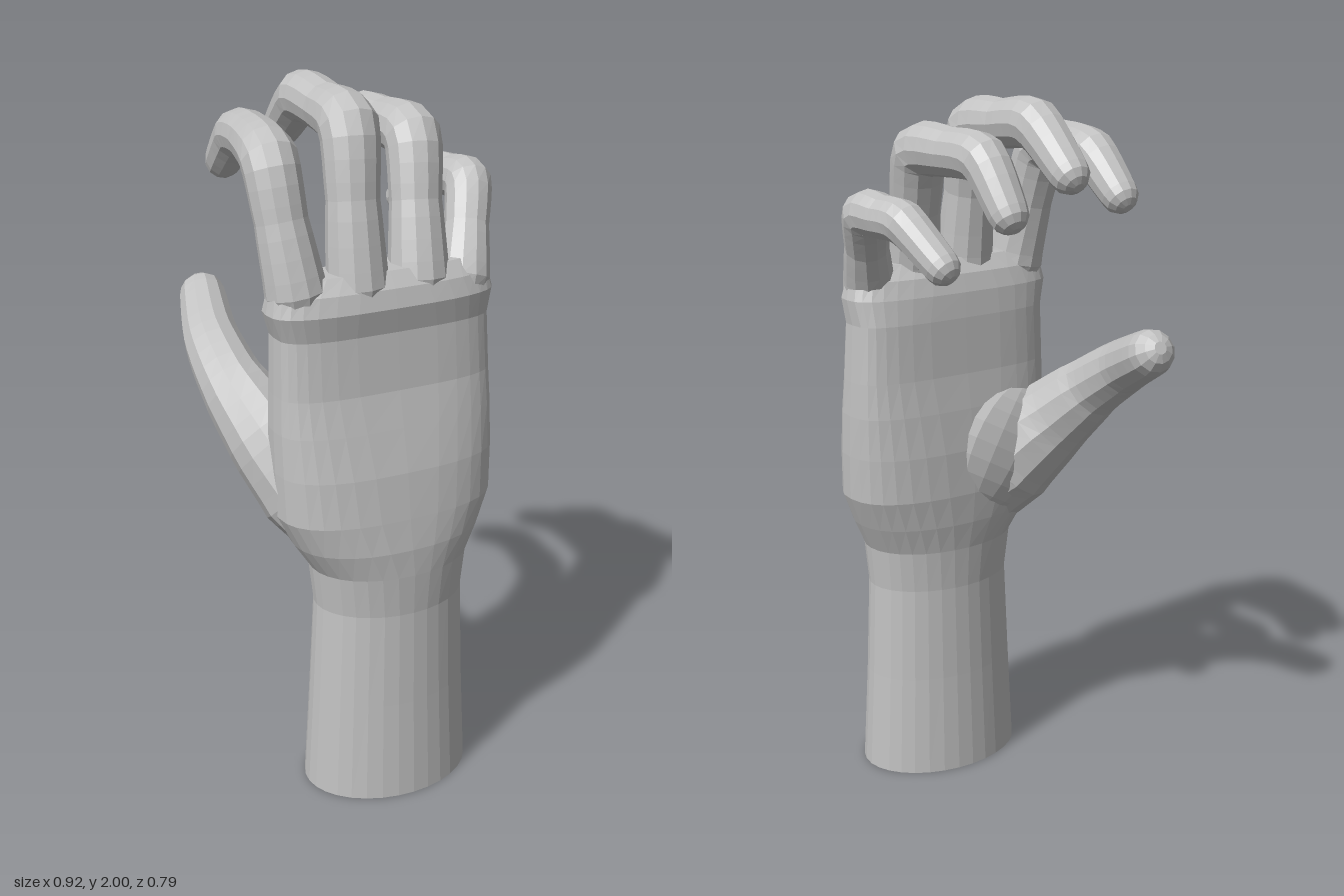
import * as THREE from 'three';

const TURN = 0.607; // the back of the hand faces between +x and +z
const ACROSS = new THREE.Vector3(Math.cos(TURN), 0, -Math.sin(TURN));

// Skin a list of equal rings of points and close both ends
function loft(rings) {
  const n = rings[0].length, pos = [], index = [];
  rings.forEach(r => r.forEach(p => pos.push(p.x, p.y, p.z)));
  for (let i = 0; i < rings.length - 1; i++) {
    for (let j = 0; j < n; j++) {
      const a = i * n + j, b = i * n + (j + 1) % n;
      index.push(a, a + n, b, b, a + n, b + n);
    }
  }
  const last = (rings.length - 1) * n;
  for (let j = 1; j < n - 1; j++) {
    index.push(0, j, j + 1, last, last + j + 1, last + j);
  }
  const g = new THREE.BufferGeometry();
  g.setAttribute('position', new THREE.Float32BufferAttribute(pos, 3));
  g.setIndex(index);
  g.computeVertexNormals();
  return g;
}

// Forearm and palm: superellipse sections [y, x, z, halfWidth, halfDepth, power]
function palmGeometry() {
  const sections = [
    [0, 0.07, 0.25, 0.25, 0.184, 2],
    [0.3, 0.07, 0.248, 0.234, 0.17, 2],
    [0.58, 0.072, 0.245, 0.222, 0.16, 2],
    [0.7, 0.07, 0.245, 0.234, 0.165, 2.1],
    [0.78, 0.062, 0.24, 0.278, 0.17, 2.3],
    [0.87, 0.058, 0.232, 0.318, 0.167, 2.5],
    [1.0, 0.058, 0.225, 0.322, 0.155, 2.7],
    [1.12, 0.058, 0.217, 0.322, 0.134, 3],
    [1.22, 0.058, 0.212, 0.318, 0.114, 3.3],
    [1.38, 0.056, 0.21, 0.312, 0.102, 3.4],
    [1.45, 0.047, 0.222, 0.33, 0.104, 3],
    [1.5, 0.045, 0.224, 0.32, 0.088, 2.8],
    [1.54, 0.045, 0.226, 0.285, 0.055, 2.5],
  ];
  const sides = 32;
  const rings = sections.map(([y, x, z, a, b, p]) => {
    const ring = [];
    for (let j = 0; j < sides; j++) {
      const t = j / sides * Math.PI * 2, c = Math.cos(t), s = Math.sin(t);
      ring.push(new THREE.Vector3(
        x + a * Math.sign(c) * Math.abs(c) ** (2 / p), y,
        z + b * Math.sign(s) * Math.abs(s) ** (2 / p)));
    }
    return ring;
  });
  return loft(rings).rotateY(TURN);
}

// Digit: round sections along a bent path of joints [x, y, z, radius], with a domed tip
function digitGeometry(joints, sides = 12) {
  const curve = new THREE.CatmullRomCurve3(
    joints.map(j => new THREE.Vector3(j[0], j[1], j[2])), false, 'catmullrom', 0.35);
  const spans = joints.length - 1, steps = spans * 4, rings = [];
  const addRing = (centre, dir, r) => {
    const x = ACROSS.clone().addScaledVector(dir, -ACROSS.dot(dir)).normalize();
    const z = x.clone().cross(dir);
    const ring = [];
    for (let j = 0; j < sides; j++) {
      const t = j / sides * Math.PI * 2;
      ring.push(centre.clone().addScaledVector(x, r * Math.cos(t)).addScaledVector(z, r * Math.sin(t)));
    }
    rings.push(ring);
  };
  for (let i = 0; i <= steps; i++) {
    const t = i / steps, k = Math.min(Math.floor(t * spans), spans - 1);
    const r = THREE.MathUtils.lerp(joints[k][3], joints[k + 1][3], t * spans - k);
    addRing(curve.getPoint(t), curve.getTangent(t), r);
  }
  const tip = curve.getPoint(1), dir = curve.getTangent(1), r = joints[spans][3];
  for (const f of [0.45, 0.9, 1.3]) {
    addRing(tip.clone().addScaledVector(dir, r * Math.sin(f)), dir, r * Math.cos(f));
  }
  return loft(rings);
}

export function createModel() {
  const group = new THREE.Group();
  const skin = new THREE.MeshStandardMaterial({ color: 0xc2c2c2, flatShading: true });
  skin.name = 'grey';
  const add = (name, geometry) => {
    const mesh = new THREE.Mesh(geometry, skin);
    mesh.name = name;
    group.add(mesh);
  };

  add('forearmAndPalm', palmGeometry());

  // Soft mound where the thumb joins the palm
  add('thumbMound', new THREE.SphereGeometry(1, 16, 12)
    .scale(0.2, 0.2, 0.09).rotateZ(0.5).translate(-0.07, 0.97, 0.125).rotateY(TURN));

  // Each digit runs from inside the palm over its joints to the tip
  const digits = {
    indexFinger: [
      [-0.02, 1.38, 0.27, 0.05], [-0.035, 1.5, 0.293, 0.084], [-0.075, 1.68, 0.275, 0.071],
      [-0.112, 1.83, 0.235, 0.077], [-0.18, 1.855, 0.11, 0.066],
      [-0.24, 1.84, 0.0, 0.066], [-0.303, 1.745, -0.095, 0.052]],
    middleFinger: [
      [0.12, 1.38, 0.19, 0.05], [0.113, 1.5, 0.206, 0.085], [0.096, 1.72, 0.182, 0.071],
      [0.077, 1.9, 0.135, 0.081], [0.0, 1.922, 0.02, 0.067],
      [-0.08, 1.928, -0.09, 0.07], [-0.16, 1.815, -0.213, 0.055]],
    ringFinger: [
      [0.26, 1.38, 0.09, 0.05], [0.262, 1.5, 0.1, 0.084], [0.246, 1.69, 0.055, 0.07],
      [0.227, 1.85, -0.005, 0.078], [0.14, 1.86, -0.12, 0.066],
      [0.06, 1.85, -0.22, 0.067], [0.0, 1.725, -0.303, 0.054]],
    littleFinger: [
      [0.36, 1.38, 0.04, 0.045], [0.375, 1.48, 0.02, 0.074], [0.376, 1.6, -0.05, 0.061],
      [0.37, 1.7, -0.125, 0.066], [0.32, 1.7, -0.19, 0.059],
      [0.263, 1.692, -0.253, 0.059], [0.17, 1.597, -0.343, 0.049]],
    thumb: [
      [0.06, 0.84, 0.22, 0.14], [-0.02, 0.92, 0.21, 0.15], [-0.145, 1.05, 0.17, 0.122],
      [-0.255, 1.165, 0.097, 0.094], [-0.333, 1.25, -0.01, 0.08], [-0.39, 1.325, -0.16, 0.067]],
  };
  for (const [name, joints] of Object.entries(digits)) add(name, digitGeometry(joints));

  return group;
}
